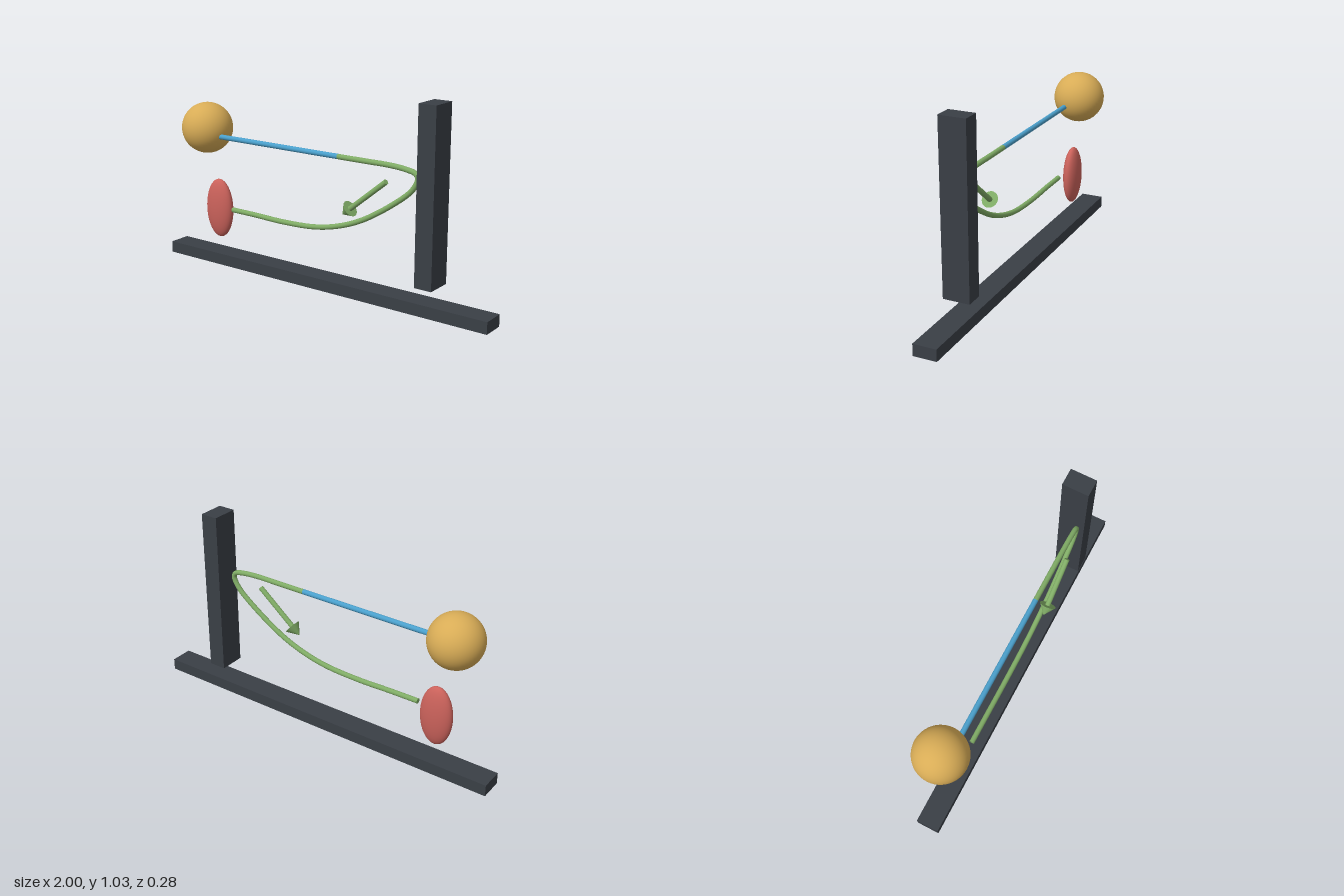
import * as THREE from 'three';

const material = (name, color) => {
  const m = new THREE.MeshStandardMaterial({ color });
  m.name = name;
  return m;
};

export function createModel() {
  const model = new THREE.Group();
  model.name = 'reboundDiagram';

  const charcoal = material('charcoal', 0x3a3f46);
  const gold = material('gold', 0xd8ac56);
  const red = material('red', 0xcb625b);
  const blue = material('blue', 0x4a9fcb);
  const green = material('green', 0x7fab65);

  const add = (name, geometry, mat, x = 0, y = 0, z = 0) => {
    const mesh = new THREE.Mesh(geometry, mat);
    mesh.name = name;
    mesh.position.set(x, y, z);
    model.add(mesh);
    return mesh;
  };

  // Cone or rod running between two points
  const UP = new THREE.Vector3(0, 1, 0);
  const rod = (name, from, to, rStart, rEnd, mat) => {
    const dir = to.clone().sub(from);
    const mid = from.clone().lerp(to, 0.5);
    const mesh = add(name, new THREE.CylinderGeometry(rEnd, rStart, dir.length(), 24), mat, mid.x, mid.y, mid.z);
    mesh.quaternion.setFromUnitVectors(UP, dir.normalize());
  };

  // Ground bar and floating wall
  add('groundBar', new THREE.BoxGeometry(2, 0.062, 0.122), charcoal, 0, 0.031, 0);
  add('wall', new THREE.BoxGeometry(0.094, 0.887, 0.14), charcoal, 0.659, 0.5865, 0);

  // Ball and flattened ball
  add('ball', new THREE.SphereGeometry(0.138, 48, 32), gold, -0.757, 0.742, 0);
  add('flattenedBall', new THREE.SphereGeometry(1, 48, 32), red, -0.68, 0.302, 0).scale.set(0.088, 0.163, 0.044);

  // Incoming straight path
  const r = 0.0135, z = 0.035;
  const v = (x, y, depth = z) => new THREE.Vector3(x, y, depth);
  rod('incomingPath', v(-0.64, 0.711), v(0.14, 0.711), r, r, blue);

  // Returning curved path, closed with a flat disc at its free end
  const curve = new THREE.CatmullRomCurve3([
    [0.14, 0.711], [0.3, 0.711], [0.44, 0.711], [0.53, 0.704], [0.585, 0.69], [0.598, 0.667],
    [0.57, 0.61], [0.46, 0.519], [0.28, 0.409], [0.14, 0.355], [0, 0.325],
    [-0.2, 0.314], [-0.4, 0.318], [-0.555, 0.319],
  ].map(([x, y]) => v(x, y)));
  add('returnPath', new THREE.TubeGeometry(curve, 160, r, 16), green);
  add('returnPathEnd', new THREE.CircleGeometry(r, 16), green, -0.555, 0.319, z).rotation.y = -Math.PI / 2;

  // Direction arrow
  const neck = v(0.234, 0.468, 0.062);
  rod('arrowShaft', v(0.44, 0.635, 0.062), neck, r, r, green);
  rod('arrowHead', neck, v(0.188, 0.431, 0.062), 0.043, 0, green);

  return model;
}
